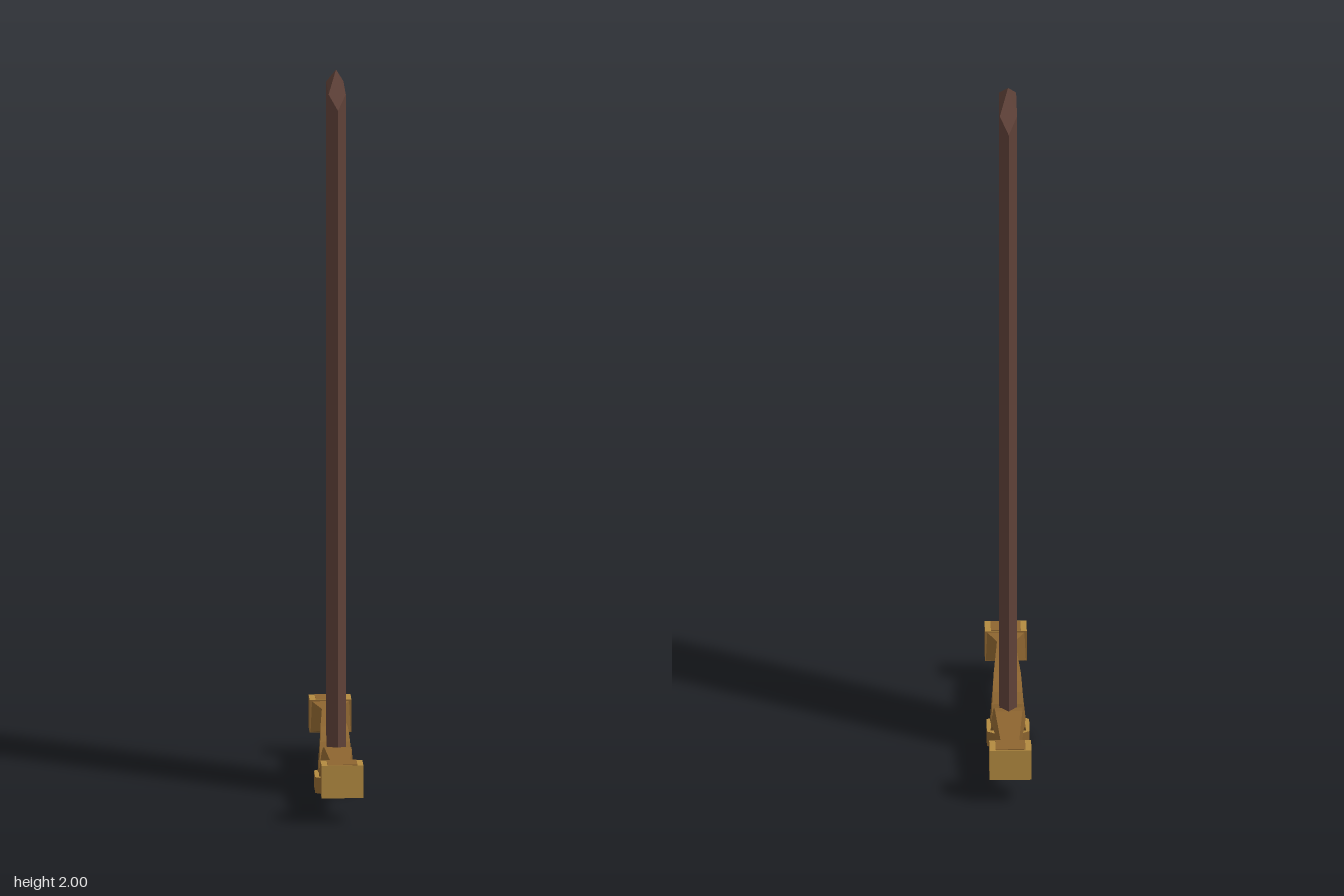
import * as THREE from 'three';

const steel = new THREE.MeshStandardMaterial({ color: 0x5d4037 });
steel.name = 'dark blade brown';
const bronze = new THREE.MeshStandardMaterial({ color: 0x8d6530 });
bronze.name = 'bronze';
const gold = new THREE.MeshStandardMaterial({ color: 0xb28a40 });
gold.name = 'gold';

// Skin a list of equal-sized rings (counterclockwise seen from the far end) and close both ends
function loft(rings) {
  const n = rings[0].length;
  const pos = rings.flat(2);
  const idx = [];
  for (let r = 0; r < rings.length - 1; r++) {
    for (let i = 0; i < n; i++) {
      const a = r * n + i, b = r * n + (i + 1) % n;
      idx.push(a, b, b + n, a, b + n, a + n);
    }
  }
  const last = (rings.length - 1) * n;
  for (let i = 1; i < n - 1; i++) {
    idx.push(0, i + 1, i, last, last + i, last + i + 1);
  }
  const g = new THREE.BufferGeometry();
  g.setAttribute('position', new THREE.Float32BufferAttribute(pos, 3));
  g.setIndex(idx);
  const flat = g.toNonIndexed();
  flat.computeVertexNormals();
  return flat;
}

function add(parent, name, geometry, material) {
  const m = new THREE.Mesh(geometry, material);
  m.name = name;
  parent.add(m);
  return m;
}

// Six-sided blade with a V-shaped foot and a pointed tip
function bladeGeometry() {
  const outline = [[0, 0.108], [0.023, 0.065], [0.023, -0.065], [0, -0.108], [-0.023, -0.065], [-0.023, 0.065]];
  const ring = (yAt, s = 1) => outline.map(([x, z]) => [x * s, yAt(Math.abs(z)), z * s]);
  return loft([
    ring(() => 0.045, 0.05),
    ring((z) => 0.045 + z * 0.72),
    ring((z) => 2 - z * 0.787),
    ring(() => 2, 0.0005),
  ]);
}

// One arm of the guard, pointing to +z
function guardArm() {
  const arm = new THREE.Group();
  // top z, top y, bottom z, bottom y, half width
  const stations = [
    [0.002, 0.04, 0.022, 0.035, 0.048],
    [0.01, 0.066, 0.036, 0.052, 0.047],
    [0.024, 0.095, 0.052, 0.067, 0.045],
    [0.045, 0.12, 0.07, 0.078, 0.043],
    [0.072, 0.138, 0.09, 0.084, 0.041],
    [0.105, 0.146, 0.11, 0.086, 0.039],
    [0.275, 0.146, 0.275, 0.086, 0.026],
    [0.298, 0.163, 0.298, 0.075, 0.056],
  ];
  add(arm, 'guardArmBody', loft(stations.map(([zt, yt, zb, yb, w]) => [
    [-w, yb, zb], [w, yb, zb], [w * 0.93, yt, zt], [-w * 0.93, yt, zt],
  ])), bronze);

  // Block at the end, gold on its outer faces
  const cap = add(arm, 'guardEndBlock', new THREE.BoxGeometry(0.112, 0.09, 0.057),
    [bronze, bronze, gold, gold, gold, bronze]);
  cap.position.set(0, 0.12, 0.3245);
  const inlay = add(arm, 'guardEndInlay', new THREE.BoxGeometry(0.08, 0.003, 0.05), bronze);
  inlay.position.set(0, 0.1655, 0.324);
  return arm;
}

export function createModel() {
  const model = new THREE.Group();
  model.name = 'sword';
  add(model, 'blade', bladeGeometry(), steel);

  for (const [name, turn] of [['frontGuardArm', 0], ['backGuardArm', Math.PI]]) {
    const arm = guardArm();
    arm.name = name;
    arm.rotation.y = turn;
    model.add(arm);
  }

  // Hexagonal collar under the guard
  const collar = new THREE.CylinderGeometry(0.066, 0.066, 0.044, 6).toNonIndexed();
  collar.computeVertexNormals();
  const sides = 36;
  collar.clearGroups();
  collar.addGroup(0, sides, 0);
  collar.addGroup(sides, 18, 1);
  collar.addGroup(sides + 18, 18, 1);
  add(model, 'collar', collar, [bronze, gold]).position.y = 0.022;
  return model;
}
